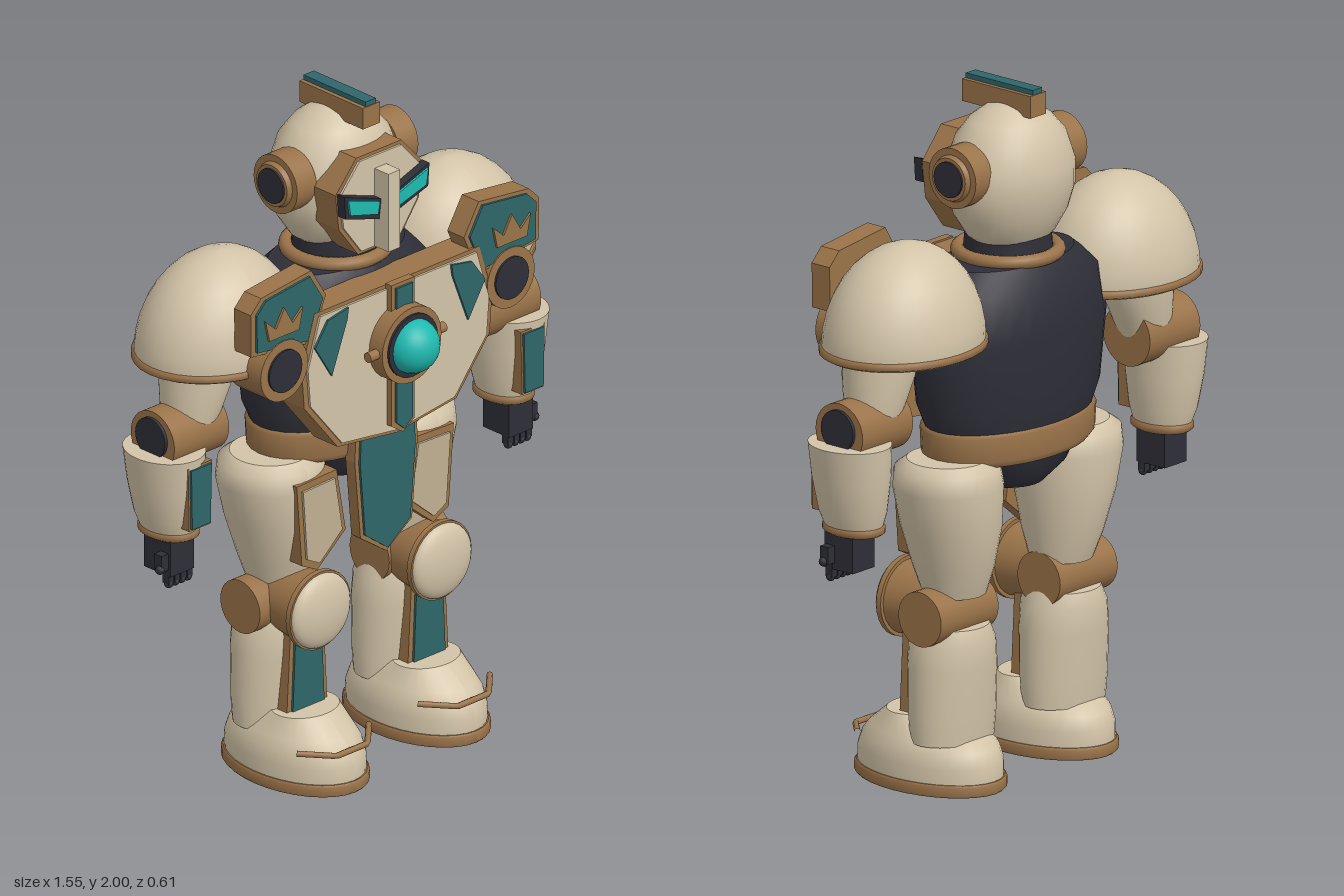
import * as THREE from 'three';

const mat = (name, color) => {
  const m = new THREE.MeshStandardMaterial({ color });
  m.name = name;
  return m;
};

export function createModel() {
  const root = new THREE.Group();
  root.name = 'robot';
  const cream = mat('cream armour', 0xd3c4a8);
  const tan = mat('tan panel', 0xbfb093);
  const bronze = mat('bronze trim', 0x9a7349);
  const teal = mat('dark teal', 0x2f666a);
  const glow = mat('bright cyan', 0x1fb9b0);
  const dark = mat('charcoal', 0x2e2e38);
  const Z = -0.08; // depth of the body axis

  const add = (name, geo, material, x = 0, y = 0, z = 0) => {
    const m = new THREE.Mesh(geo, material);
    m.name = name;
    m.position.set(x, y, z);
    root.add(m);
    return m;
  };
  const box = (name, material, w, h, d, x, y, z) => add(name, new THREE.BoxGeometry(w, h, d), material, x, y, z);

  // Closed body through elliptical rings [y, rx, rz, cx, cz], bottom to top
  const loft = (name, material, rings, x = 0, z = Z, seg = 32) => {
    const n = rings.length - 1;
    const g = new THREE.CylinderGeometry(1, 1, 1, seg, n);
    const p = g.attributes.position;
    for (let i = 0; i < p.count; i++) {
      const [y, rx, rz, cx = 0, cz = 0] = rings[Math.round((p.getY(i) + 0.5) * n)];
      p.setXYZ(i, p.getX(i) * rx + cx, y, p.getZ(i) * rz + cz);
    }
    g.computeVertexNormals();
    return add(name, g, material, x, 0, z);
  };

  // Flat polygon extruded from z0 to z1
  const plate = (name, material, pts, z0, z1) => {
    const shape = new THREE.Shape(pts.map(([x, y]) => new THREE.Vector2(x, y)));
    return add(name, new THREE.ExtrudeGeometry(shape, { depth: z1 - z0, bevelEnabled: false }), material, 0, 0, z0);
  };
  // Bronze plate with a smaller coloured face on it
  const framed = (name, material, pts, z0, z1, kx = 0.86, ky = kx) => {
    plate(name + 'Frame', bronze, pts, z0, z1);
    const xs = pts.map((p) => p[0]), ys = pts.map((p) => p[1]);
    const cx = (Math.min(...xs) + Math.max(...xs)) / 2, cy = (Math.min(...ys) + Math.max(...ys)) / 2;
    plate(name, material, pts.map(([x, y]) => [cx + (x - cx) * kx, cy + (y - cy) * ky]), z1 - 0.002, z1 + 0.007);
  };
  const both = (half) => [...half, ...half.filter((p) => p[0] !== 0).reverse().map(([x, y]) => [-x, y])];

  // Cylinder lying along x or z between a and b
  const rod = (name, material, axis, r0, r1, a, b, u, y) => {
    const g = new THREE.CylinderGeometry(r1, r0, Math.abs(b - a), 28);
    const mid = (a + b) / 2;
    if (axis === 'x') {
      g.rotateZ(b > a ? -Math.PI / 2 : Math.PI / 2);
      return add(name, g, material, mid, y, u);
    }
    g.rotateX(Math.PI / 2);
    return add(name, g, material, u, y, mid);
  };

  // Torso, belt and pelvis
  loft('torso', dark, [[0.99, 0.27, 0.17], [1.1, 0.32, 0.195], [1.3, 0.345, 0.205], [1.44, 0.31, 0.195], [1.5, 0.23, 0.14]]);
  loft('belt', bronze, [[0.94, 0.28, 0.175], [0.96, 0.3, 0.188], [1.03, 0.305, 0.19], [1.04, 0.29, 0.18]]);
  loft('pelvis', dark, [[0.84, 0.1, 0.1], [0.89, 0.19, 0.14], [0.96, 0.24, 0.16]]);

  // Chest armour
  framed('chestPlate', cream, both([[0, 1.01], [0.23, 1.04], [0.36, 1.2], [0.37, 1.32], [0.32, 1.48]]), 0.07, 0.165, 0.95, 0.95);
  framed('chestStrip', teal, both([[0, 1.02], [0.045, 1.05], [0.045, 1.485]]), 0.165, 0.19, 0.7, 0.95);

  // Chest core
  rod('coreRing', bronze, 'z', 0.115, 0.115, 0.17, 0.225, 0, 1.3);
  rod('coreWell', dark, 'z', 0.095, 0.095, 0.22, 0.232, 0, 1.3);
  rod('corePin', bronze, 'x', 0.015, 0.015, -0.148, 0.148, 0.2, 1.3);
  add('coreDome', new THREE.SphereGeometry(0.08, 28, 14), glow, 0, 1.3, 0.228).scale.z = 0.95;

  // Waist tabard
  framed('tabard', teal, both([[0, 0.63], [0.1, 0.7], [0.122, 0.94], [0.117, 1.03]]), 0.085, 0.122, 0.88, 0.94);

  // Neck and head
  loft('neck', dark, [[1.46, 0.13, 0.13], [1.6, 0.12, 0.12]]);
  const collar = add('collar', new THREE.TorusGeometry(0.142, 0.02, 12, 36), bronze, 0, 1.512, Z);
  collar.rotation.x = Math.PI / 2;
  loft('head', cream, [[1.54, 0.1, 0.09], [1.57, 0.14, 0.115], [1.63, 0.18, 0.145], [1.7, 0.203, 0.163], [1.77, 0.2, 0.166],
    [1.85, 0.17, 0.145], [1.9, 0.125, 0.11], [1.935, 0.07, 0.065], [1.95, 0.01, 0.01]], 0, -0.09);
  framed('facePlate', cream, both([[0.08, 1.56], [0.155, 1.66], [0.168, 1.77], [0.088, 1.86]]), 0.0, 0.092, 0.92, 0.93);
  box('noseGuard', cream, 0.046, 0.24, 0.065, 0, 1.69, 0.122);
  box('crest', bronze, 0.066, 0.065, 0.255, 0, 1.953, -0.065);
  box('crestInlay', teal, 0.04, 0.02, 0.25, 0, 1.99, -0.065);

  for (const s of [1, -1]) {
    const side = s > 0 ? 'left' : 'right';
    const N = (part) => side + part;
    const flip = (pts) => pts.map(([x, y]) => [x * s, y]);

    // Eyes and ears
    plate(N('EyeSocket'), dark, flip([[0.022, 1.725], [0.165, 1.775], [0.16, 1.705], [0.03, 1.665]]), 0.095, 0.125);
    plate(N('Eye'), glow, flip([[0.033, 1.722], [0.155, 1.763], [0.147, 1.715], [0.04, 1.685]]), 0.124, 0.132);
    rod(N('Ear'), bronze, 'x', 0.088, 0.088, 0.16 * s, 0.235 * s, Z, 1.77);
    rod(N('EarRim'), bronze, 'x', 0.068, 0.062, 0.235 * s, 0.25 * s, Z, 1.77);
    rod(N('EarCentre'), dark, 'x', 0.052, 0.052, 0.24 * s, 0.255 * s, Z, 1.77);

    // Chest inlay
    plate(N('ChestInlay'), teal, flip([[0.33, 1.38], [0.28, 1.45], [0.2, 1.465], [0.205, 1.43], [0.265, 1.275]]), 0.17, 0.179);

    // Shoulder dome with rim
    const dome = [[1.325, 0.245, 0.205]];
    for (let i = 0; i <= 9; i++) {
      const a = Math.min(i / 9, 0.985) * Math.PI / 2;
      dome.push([1.345 + 0.29 * Math.sin(a), 0.253 * Math.cos(a), 0.213 * Math.cos(a), -0.012 * s * i / 9]);
    }
    loft(N('Shoulder'), cream, dome, 0.452 * s, -0.09);
    loft(N('ShoulderRim'), bronze, [[1.328, 0.25, 0.21], [1.333, 0.26, 0.219], [1.349, 0.26, 0.219], [1.354, 0.25, 0.21]], 0.452 * s, -0.09);

    // Shoulder badge with a spiked ornament, and the round joint below
    framed(N('Badge'), teal, flip([[0.558, 1.42], [0.56, 1.55], [0.52, 1.59], [0.325, 1.613], [0.268, 1.52], [0.325, 1.39]]), 0.09, 0.157, 0.88, 0.88);
    plate(N('BadgeOrnament'), bronze, flip([[0.5, 1.455], [0.515, 1.52], [0.475, 1.485], [0.442, 1.54], [0.41, 1.485], [0.37, 1.52], [0.385, 1.455]]), 0.163, 0.171);
    rod(N('ShoulderJoint'), bronze, 'z', 0.092, 0.092, 0.04, 0.168, 0.44 * s, 1.345);
    rod(N('ShoulderJointCentre'), dark, 'z', 0.064, 0.064, 0.16, 0.174, 0.44 * s, 1.345);

    // Upper arm and elbow
    loft(N('UpperArm'), cream, [[1.12, 0.07, 0.07, 0.03 * s], [1.18, 0.085, 0.085, 0.02 * s], [1.27, 0.108, 0.1], [1.36, 0.115, 0.105, -0.01 * s]], 0.545 * s);
    rod(N('Elbow'), bronze, 'x', 0.088, 0.088, 0.5 * s, 0.712 * s, Z, 1.135);
    rod(N('ElbowCentre'), dark, 'x', 0.06, 0.06, 0.705 * s, 0.722 * s, Z, 1.145);

    // Forearm with front panel
    loft(N('Forearm'), cream, [[0.84, 0.066, 0.085, -0.005 * s], [0.9, 0.085, 0.105], [1.0, 0.1, 0.12, 0.006 * s], [1.1, 0.108, 0.126, 0.012 * s]], 0.655 * s);
    loft(N('WristRing'), bronze, [[0.835, 0.068, 0.088], [0.842, 0.077, 0.097], [0.856, 0.077, 0.097], [0.863, 0.07, 0.09]], 0.65 * s);
    framed(N('ForearmPanel'), teal, flip([[0.605, 0.885], [0.688, 0.885], [0.692, 1.08], [0.6, 1.08]]), -0.01, 0.042, 0.86, 0.93);

    // Hand, fingers and thumb
    box(N('Palm'), dark, 0.092, 0.11, 0.105, 0.658 * s, 0.785, -0.07);
    for (let i = 0; i < 4; i++) {
      const fx = (0.623 + i * 0.024) * s;
      box(N('Finger'), dark, 0.02, 0.05, 0.025, fx, 0.73, -0.035);
      add(N('Fingertip'), new THREE.SphereGeometry(0.013, 10, 8), dark, fx, 0.703, -0.033);
    }
    box(N('Thumb'), dark, 0.03, 0.05, 0.03, 0.715 * s, 0.775, -0.04);
    add(N('ThumbTip'), new THREE.SphereGeometry(0.014, 10, 8), dark, 0.727 * s, 0.755, -0.035);

    // Thigh with angled panel
    loft(N('Thigh'), cream, [[0.56, 0.09, 0.09, -0.015 * s], [0.64, 0.11, 0.12, -0.01 * s], [0.76, 0.138, 0.148], [0.88, 0.158, 0.156, 0.012 * s],
      [0.935, 0.15, 0.148, 0.015 * s], [0.96, 0.115, 0.115, 0.015 * s]], 0.24 * s);
    framed(N('ThighPanel'), tan, flip([[0.305, 0.91], [0.15, 0.915], [0.115, 0.72], [0.225, 0.63], [0.285, 0.66]]), 0.03, 0.078, 0.8, 0.85);

    // Knee
    rod(N('KneeHinge'), bronze, 'x', 0.08, 0.08, 0.13 * s, 0.372 * s, Z, 0.51);
    rod(N('KneeHub'), bronze, 'z', 0.09, 0.108, -0.08, 0.09, 0.235 * s, 0.515);
    rod(N('KneeRim'), bronze, 'z', 0.118, 0.118, 0.083, 0.1, 0.235 * s, 0.515);
    add(N('KneeCap'), new THREE.SphereGeometry(0.112, 24, 14), cream, 0.235 * s, 0.515, 0.1).scale.z = 0.34;

    // Shin with front panel
    loft(N('Shin'), cream, [[0.14, 0.138, 0.1], [0.22, 0.142, 0.108], [0.36, 0.137, 0.117], [0.43, 0.125, 0.12], [0.475, 0.105, 0.105]], 0.235 * s);
    framed(N('ShinPanel'), teal, flip([[0.155, 0.17], [0.315, 0.17], [0.3, 0.44], [0.17, 0.44]]), 0.0, 0.047, 0.78, 0.96);

    // Foot, sole and toe bar
    loft(N('Sole'), bronze, [[0, 0.16, 0.24], [0.006, 0.165, 0.246], [0.03, 0.165, 0.246], [0.036, 0.16, 0.24]], 0.235 * s, 0);
    loft(N('Foot'), cream, [[0.034, 0.156, 0.236], [0.08, 0.157, 0.236], [0.12, 0.15, 0.22], [0.15, 0.135, 0.19, 0, 0.005], [0.205, 0.105, 0.085, 0, 0.04]], 0.235 * s, 0);
    const bar = new THREE.CurvePath();
    const pts = [[-0.14, 0.135, 0.15], [-0.06, 0.128, 0.228], [0.06, 0.128, 0.228], [0.14, 0.135, 0.15]].map((p) => new THREE.Vector3(...p));
    for (let i = 0; i < 3; i++) bar.add(new THREE.LineCurve3(pts[i], pts[i + 1]));
    add(N('ToeBar'), new THREE.TubeGeometry(bar, 24, 0.009, 8), bronze, 0.235 * s, 0, 0);
  }
  return root;
}
